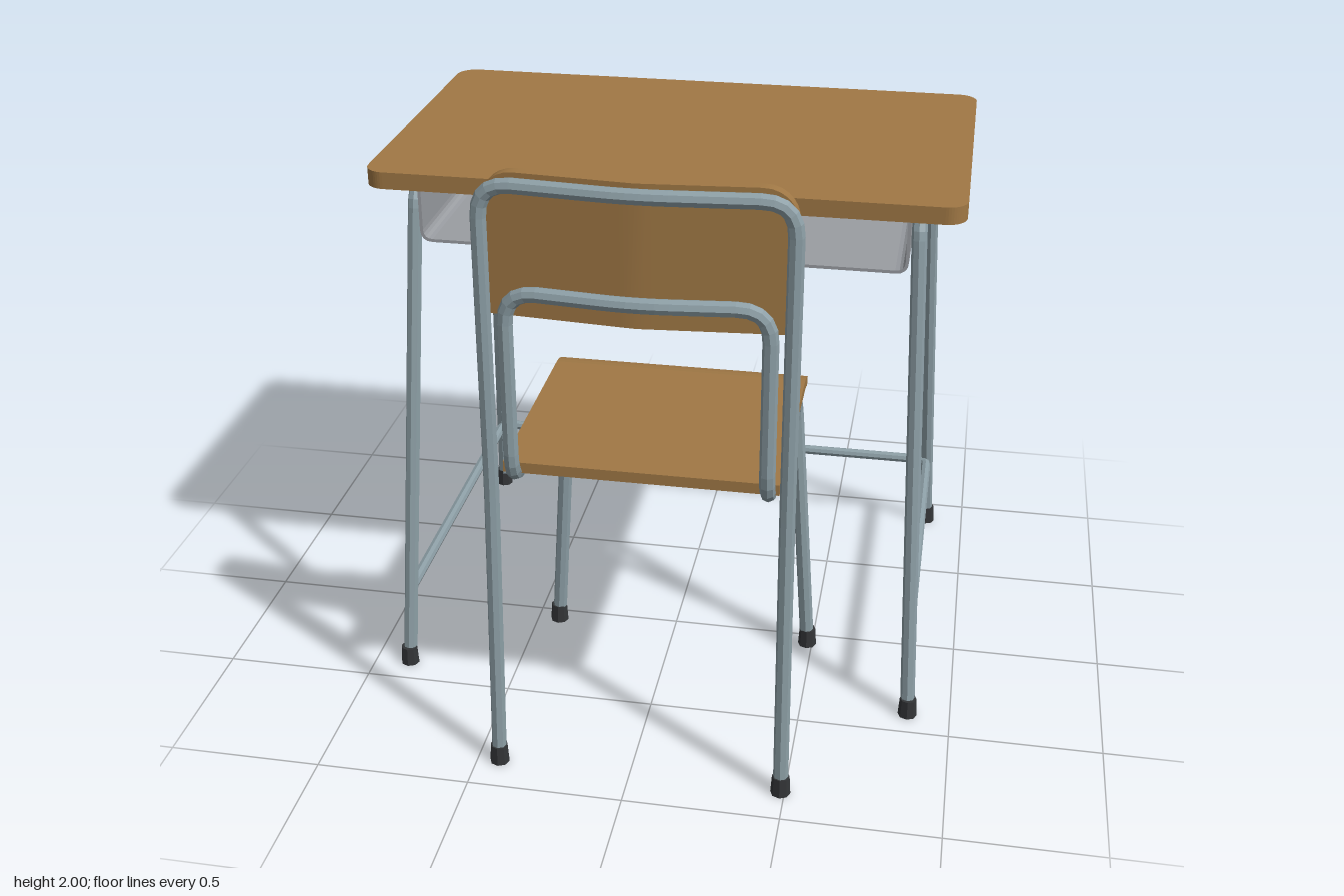
import * as THREE from 'three';

const mat = (color, extra = {}) => new THREE.MeshStandardMaterial({ color, ...extra });
const V = (x, y, z) => new THREE.Vector3(x, y, z);

// Follows a polyline exactly, so straight runs stay straight
class Polyline extends THREE.Curve {
  constructor(pts) { super(); this.pts = pts; }
  getPoint(t) {
    const f = t * (this.pts.length - 1);
    const i = Math.min(Math.floor(f), this.pts.length - 2);
    return this.pts[i].clone().lerp(this.pts[i + 1], f - i);
  }
  getPointAt(t) { return this.getPoint(t); }
  getTangentAt(t) {
    const n = this.pts.length - 1, i = Math.round(t * n), p = this.pts;
    const d = V(0, 0, 0);
    if (i > 0) d.add(p[i].clone().sub(p[i - 1]).normalize());
    if (i < n) d.add(p[i + 1].clone().sub(p[i]).normalize());
    return d.normalize();
  }
}

// Bent pipe through corner points, each corner rounded over the length bend
function pipe(points, radius, bend, sides = 8) {
  const path = [points[0]];
  for (let i = 1; i < points.length - 1; i++) {
    const c = points[i];
    const toward = (q) => c.clone().add(q.clone().sub(c).setLength(bend));
    const arc = new THREE.QuadraticBezierCurve3(toward(points[i - 1]), c, toward(points[i + 1]));
    path.push(...arc.getPoints(5));
  }
  path.push(points[points.length - 1]);
  return new THREE.TubeGeometry(new Polyline(path), path.length - 1, radius, sides, false);
}

// Half of a symmetric path completed by its mirror image in x
const mirrored = (half) => [...half, ...half.filter((p) => p.x !== 0).reverse().map((p) => V(-p.x, p.y, p.z))];

function roundedRect(w, d, r) {
  const s = new THREE.Shape(), x = w / 2, y = d / 2;
  s.absarc(x - r, y - r, r, 0, Math.PI / 2);
  s.absarc(-x + r, y - r, r, Math.PI / 2, Math.PI);
  s.absarc(-x + r, -y + r, r, Math.PI, Math.PI * 1.5);
  s.absarc(x - r, -y + r, r, Math.PI * 1.5, Math.PI * 2);
  return s;
}

export function createModel() {
  const model = new THREE.Group();
  const wood = mat(0xa07845);
  const steel = mat(0x8c9ea5, { flatShading: true, side: THREE.DoubleSide });
  const sheet = mat(0x9a9da2, { side: THREE.DoubleSide });
  const rubber = mat(0x333537, { flatShading: true });

  const add = (group, name, geometry, material) => {
    const mesh = new THREE.Mesh(geometry, material);
    mesh.name = name;
    group.add(mesh);
    return mesh;
  };
  const addFeet = (group, x, z) => {
    for (const s of [-1, 1]) {
      add(group, 'rubberFoot', new THREE.CylinderGeometry(0.028, 0.032, 0.065, 8), rubber)
        .position.set(s * x, 0.0325, z);
    }
  };

  // ---- Desk ----
  const desk = new THREE.Group();
  desk.name = 'desk';
  desk.position.x = -0.01;
  model.add(desk);

  const top = new THREE.ExtrudeGeometry(roundedRect(1.87, 1.12, 0.065), { depth: 0.055, bevelEnabled: false, curveSegments: 6 });
  top.rotateX(-Math.PI / 2).translate(0.005, 1.732, -0.24);
  add(desk, 'deskTop', top, wood);

  // side frames: two splayed legs joined by a rail under the top
  for (const s of [-1, 1]) {
    add(desk, 'deskSideFrame', pipe([
      V(s * 0.868, 0.02, 0.4), V(s * 0.797, 1.706, 0.207),
      V(s * 0.797, 1.706, -0.695), V(s * 0.868, 0.02, -0.878),
    ], 0.024, 0.07), steel);
  }
  addFeet(desk, 0.869, 0.402);
  addFeet(desk, 0.869, -0.878);
  add(desk, 'upperRearBar', pipe([V(-0.805, 1.52, -0.722), V(0.805, 1.52, -0.722)], 0.022, 0), steel);
  add(desk, 'lowerStretcher', pipe(mirrored([V(0.855, 0.29, 0.365), V(0.855, 0.29, -0.848)]), 0.018, 0.05), steel);

  // book tray, open at the front, with rounded lower edges
  const w = 0.77, t = 0.01, y0 = 1.55, y1 = 1.732, r = 0.04;
  const trayOutline = (shape, k) => {
    shape.moveTo(-w + k, y1);
    shape.lineTo(-w + k, y0 + r);
    shape.quadraticCurveTo(-w + k, y0 + k, -w + r, y0 + k);
    shape.lineTo(w - r, y0 + k);
    shape.quadraticCurveTo(w - k, y0 + k, w - k, y0 + r);
    shape.lineTo(w - k, y1);
    return shape;
  };
  const inner = trayOutline(new THREE.Path(), t).getPoints(4).reverse();
  const shell = trayOutline(new THREE.Shape(), 0);
  inner.forEach((p) => shell.lineTo(p.x, p.y));
  const opts = { bevelEnabled: false, curveSegments: 4 };
  add(desk, 'trayShell', new THREE.ExtrudeGeometry(shell, { ...opts, depth: 1.045 }).translate(0.005, 0, -0.76), sheet);
  add(desk, 'trayBack', new THREE.ExtrudeGeometry(trayOutline(new THREE.Shape(), 0), { ...opts, depth: t }).translate(0.005, 0, -0.77), sheet);

  // bag hooks on one side of the tray
  for (const z of [-0.175, -0.258]) {
    add(desk, 'bagHook', pipe([
      V(-0.765, 1.63, z), V(-0.785, 1.62, z), V(-0.785, 1.535, z), V(-0.825, 1.535, z), V(-0.825, 1.59, z),
    ], 0.006, 0.015, 6), steel);
  }

  // ---- Chair, facing the desk ----
  const chair = new THREE.Group();
  chair.name = 'chair';
  chair.position.x = 0.03;
  model.add(chair);

  add(chair, 'rearLegHoop', pipe(mirrored([
    V(0.457, 0.02, 0.874), V(0.447, 1.0, 0.838), V(0.447, 1.968, 0.83), V(0, 1.968, 0.868),
  ]), 0.024, 0.1), steel);
  add(chair, 'seatFrame', pipe(mirrored([
    V(0.452, 0.02, 0.053), V(0.384, 1.02, 0.08), V(0.384, 1.02, 0.83),
    V(0.384, 1.645, 0.83), V(0, 1.645, 0.868),
  ]), 0.024, 0.1), steel);
  addFeet(chair, 0.457, 0.873);
  addFeet(chair, 0.453, 0.053);

  // seat board with a rolled front lip
  const seat = new THREE.Shape();
  seat.moveTo(0.805, 1.04);
  seat.lineTo(0.805, 1.075);
  seat.lineTo(0.11, 1.075);
  seat.quadraticCurveTo(0.06, 1.072, 0.032, 1.052);
  seat.lineTo(0.046, 1.024);
  seat.quadraticCurveTo(0.075, 1.04, 0.11, 1.04);
  const seatGeo = new THREE.ExtrudeGeometry(seat, { ...opts, depth: 0.836 });
  add(chair, 'seat', seatGeo.rotateY(-Math.PI / 2).translate(0.418, 0, 0), wood);

  // bowed backrest with rounded upper corners
  const half = 0.45, cr = 0.1;
  const back = new THREE.BoxGeometry(2, 1, 0.036, 32, 1, 1);
  const p = back.attributes.position;
  for (let i = 0; i < p.count; i++) {
    const x = half * Math.sin(p.getX(i) * Math.PI / 2);
    const over = Math.max(0, Math.abs(x) - (half - cr));
    const drop = cr - Math.sqrt(Math.max(0, cr * cr - over * over));
    const y = p.getY(i) > 0 ? 1.997 - drop : 1.562;
    p.setXYZ(i, x, y, p.getZ(i) + 0.785 + 0.036 * (1 - Math.abs(x) / half));
  }
  back.computeVertexNormals();
  add(chair, 'backrest', back, wood);

  return model;
}
